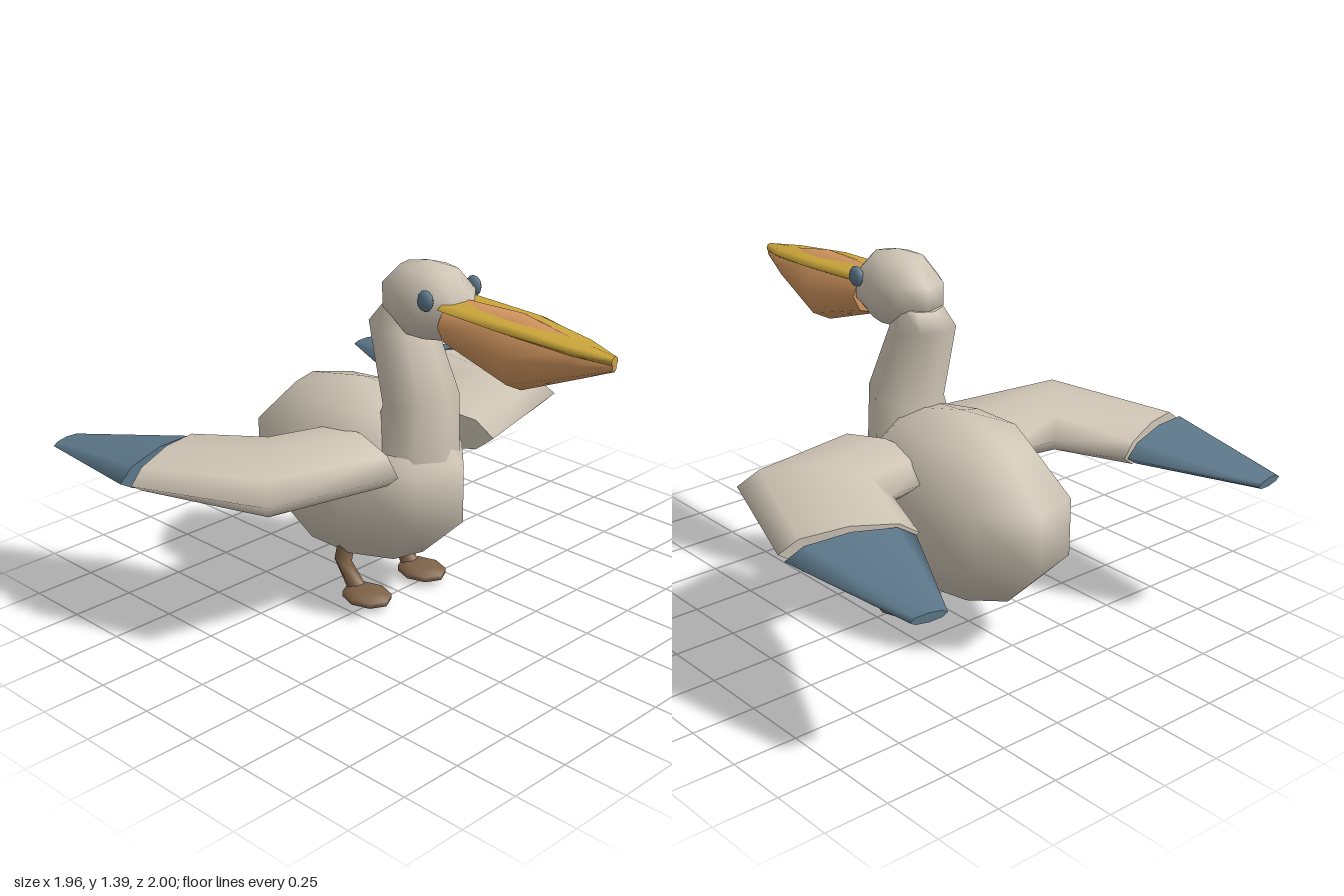
import * as THREE from 'three';

const mat = (name, color, side = THREE.FrontSide) =>
  Object.assign(new THREE.MeshStandardMaterial({ color, side }), { name });
const V = (x, y, z) => new THREE.Vector3(x, y, z);

// Cross-section whose first axis spans p to q and whose second half-axis is w
const ring = (p, q, w) => ({
  c: p.clone().add(q).multiplyScalar(0.5),
  u: p.clone().sub(q).multiplyScalar(0.5),
  v: w,
});

// Smooth closed skin over elliptical rings, with flat end caps
function loft(rings, sides) {
  const pos = [], idx = [], n = rings.length;
  const d = rings[1].c.clone().sub(rings[0].c);
  const flip = rings[0].u.clone().cross(rings[0].v).dot(d) < 0 ? -1 : 1;
  const addRing = ({ c, u, v }) => {
    for (let j = 0; j < sides; j++) {
      const t = (j / sides) * Math.PI * 2;
      const p = c.clone().addScaledVector(u, Math.cos(t)).addScaledVector(v, flip * Math.sin(t));
      pos.push(p.x, p.y, p.z);
    }
  };
  rings.forEach(addRing);
  for (let i = 0; i < n - 1; i++) {
    for (let j = 0; j < sides; j++) {
      const a = i * sides + j, b = i * sides + ((j + 1) % sides);
      idx.push(a, b, a + sides, b, b + sides, a + sides);
    }
  }
  [rings[0], rings[n - 1]].forEach((r, end) => {
    const base = pos.length / 3;
    addRing(r);
    pos.push(r.c.x, r.c.y, r.c.z);
    for (let j = 0; j < sides; j++) {
      const a = base + j, b = base + ((j + 1) % sides);
      idx.push(base + sides, end ? a : b, end ? b : a);
    }
  });
  const g = new THREE.BufferGeometry();
  g.setAttribute('position', new THREE.Float32BufferAttribute(pos, 3));
  g.setIndex(idx);
  g.computeVertexNormals();
  return g;
}

export function createModel() {
  const plumage = mat('plumage', 0xcfc5b5);
  const blue = mat('slate blue', 0x5b7688);
  const orange = mat('pouch orange', 0xd2965f);
  const yellow = mat('bill yellow', 0xc9a43a);
  const brown = mat('leg brown', 0x7e6248);

  const model = new THREE.Group();
  model.name = 'waterBird';
  const add = (name, geo, material) => {
    const m = new THREE.Mesh(geo, material);
    m.name = name;
    model.add(m);
    return m;
  };
  // Coarse ellipsoid with a vertex on the +x side
  const blob = (name, c, r, material, w = 9, h = 5) => {
    const g = new THREE.SphereGeometry(1, w, h, Math.PI);
    g.scale(...r);
    return add(name, g.translate(...c), material);
  };

  // Body and head
  blob('body', [0, 0.495, -0.2], [0.315, 0.365, 0.525], plumage);
  blob('head', [0, 1.245, 0.16], [0.145, 0.15, 0.21], plumage);

  // Neck, leaning back towards the head
  add('neck', loft([
    ring(V(0, 0.58, 0.25), V(0, 0.6, -0.1), V(0.185, 0, 0)),
    ring(V(0, 0.88, 0.255), V(0, 0.82, -0.015), V(0.15, 0, 0)),
    ring(V(0, 1.1, 0.165), V(0, 1.14, -0.11), V(0.118, 0, 0)),
    ring(V(0, 1.22, 0.12), V(0, 1.2, -0.045), V(0.09, 0, 0)),
  ], 8), plumage);

  // Bill: deep pouch with a flat upper bill through its top
  const billRing = ([z, bottom, top, rx]) => ring(V(0, top, z), V(0, bottom, z), V(rx, 0, 0));
  add('billPouch', loft([
    [0.3, 1.11, 1.285, 0.112], [0.6, 1.01, 1.295, 0.115],
    [0.86, 1.12, 1.248, 0.062], [1.0, 1.18, 1.215, 0.012],
  ].map(billRing), 8), orange);
  add('upperBill', loft([
    [0.3, 1.24, 1.285, 0.115], [0.6, 1.228, 1.275, 0.12],
    [0.86, 1.208, 1.253, 0.075], [1.0, 1.2, 1.235, 0.018],
  ].map(billRing), 8), yellow);

  for (const s of [1, -1]) {
    const side = s > 0 ? 'left' : 'right';
    blob(side + 'Eye', [s * 0.127, 1.29, 0.258], [0.022, 0.04, 0.036], blue, 8, 6);

    // Swept wing, front edge then back edge at each section
    const wingRing = ([fx, fz, bx, bz, y, ry]) =>
      ring(V(s * fx, y, fz), V(s * bx, y, bz), V(0, ry, 0));
    add(side + 'Wing', loft([
      [0.26, 0.255, 0.14, -0.25, 0.65, 0.085],
      [0.78, 0.13, 0.4, -0.29, 0.66, 0.1],
      [0.97, -0.39, 0.5, -0.56, 0.643, 0.065],
    ].map(wingRing), 8), plumage);
    add(side + 'WingTip', loft([
      [0.98, -0.44, 0.515, -0.56, 0.64, 0.06],
      [0.89, -0.98, 0.75, -1.0, 0.605, 0.017],
    ].map(wingRing), 8), blue);

    // Bent leg and flat foot
    const legRing = ([x, y, z, dy, dz]) =>
      ring(V(s * x, y + dy, z + dz), V(s * x, y - dy, z - dz), V(0.034, 0, 0));
    add(side + 'Leg', loft([
      [0.155, 0.23, -0.13, 0.005, 0.034],
      [0.155, 0.145, -0.148, -0.008, 0.034],
      [0.15, 0.05, -0.08, 0.02, 0.03],
    ].map(legRing), 8), brown);
    blob(side + 'Foot', [s * 0.155, 0.037, -0.018], [0.088, 0.034, 0.112], brown, 8, 5);
  }
  return model;
}
